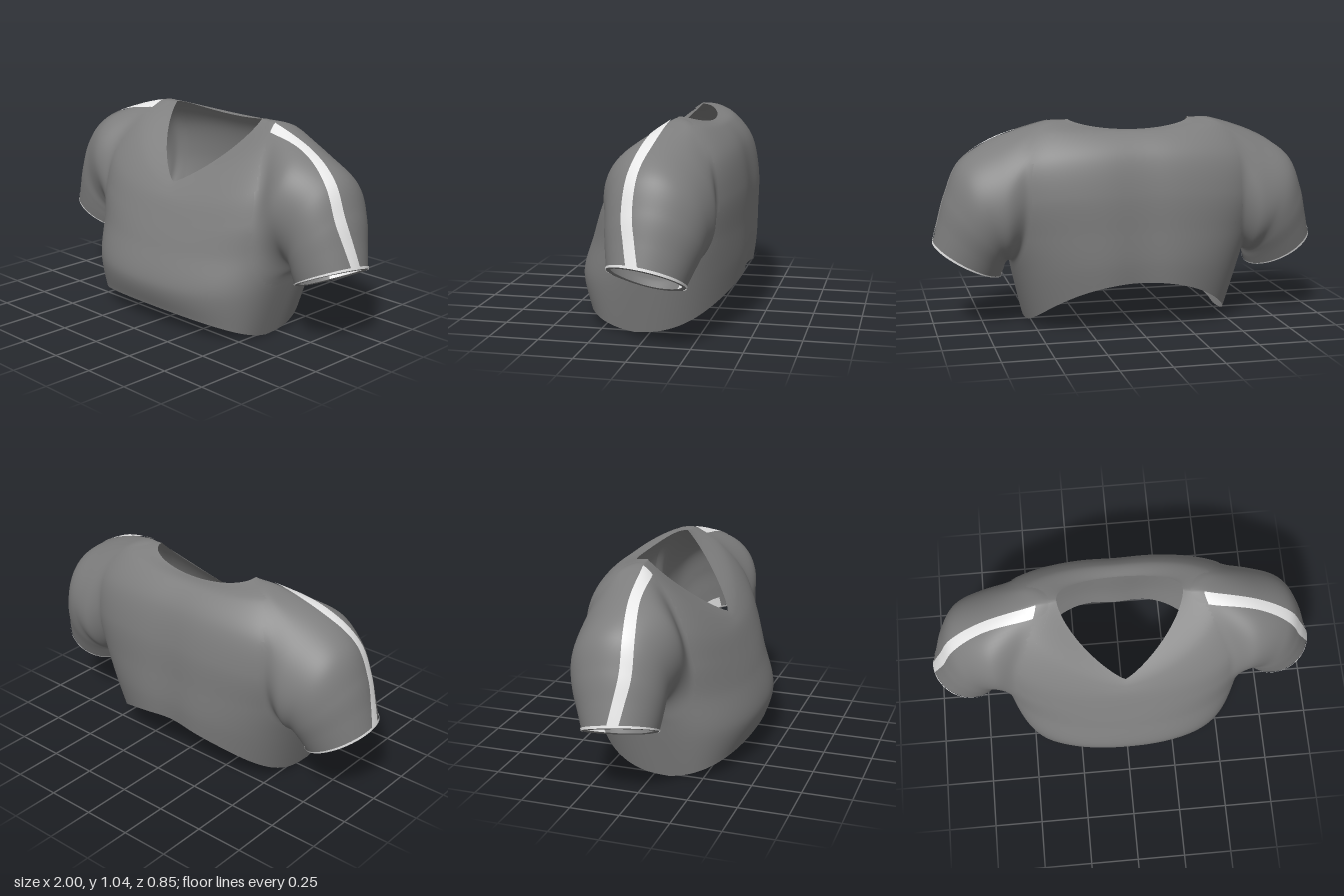
import * as THREE from 'three';

const grey = new THREE.MeshStandardMaterial({ name: 'grey cloth', color: 0x7e7e7e, side: THREE.DoubleSide });
const light = new THREE.MeshStandardMaterial({ name: 'light trim', color: 0xf0f0f0, side: THREE.DoubleSide });

// Smooth interpolation between rows of section values, t from 0 to 1
function blendRows(rows, t) {
  const f = t * (rows.length - 1);
  const i = Math.min(Math.floor(f), rows.length - 2);
  const s = f - i;
  const at = (k) => rows[Math.max(0, Math.min(rows.length - 1, k))];
  return rows[i].map((b, j) => {
    const a = at(i - 1)[j], c = at(i + 1)[j], d = at(i + 2)[j];
    return b + 0.5 * s * (c - a + s * (2 * a - 5 * b + 4 * c - d + s * (3 * (b - c) + d - a)));
  });
}

// Surface grid from a point rule; wrap closes it around u, skip leaves out faces
function surface(name, material, point, nu, nv, wrap = true, skip = () => false) {
  const pos = [], index = [];
  const cols = wrap ? nu : nu + 1;
  for (let j = 0; j <= nv; j++) {
    for (let i = 0; i < cols; i++) pos.push(...point(i / nu, j / nv));
  }
  for (let j = 0; j < nv; j++) {
    for (let i = 0; i < nu; i++) {
      if (skip((i + 0.5) / nu, (j + 0.5) / nv)) continue;
      const a = j * cols + i, b = j * cols + ((i + 1) % cols);
      index.push(a, b, b + cols, a, b + cols, a + cols);
    }
  }
  const g = new THREE.BufferGeometry();
  g.setAttribute('position', new THREE.Float32BufferAttribute(pos, 3));
  g.setIndex(index);
  g.computeVertexNormals();
  const mesh = new THREE.Mesh(g, material);
  mesh.name = name;
  return mesh;
}

// Torso rings, hem to neckline: side y, front y, back y, half width, side z, front z, back z,
// then powers: front z, x, back z, front y, front point (lower is sharper)
const TORSO = [
  [0.0, 0.1, 0.25, 0.525, 0.08, 0.39, -0.42, 0.6, 0.85, 0.65, 0.8, 1.9],
  [0.25, 0.24, 0.36, 0.585, 0.02, 0.43, -0.43, 0.7, 0.85, 0.65, 1.3, 1.9],
  [0.45, 0.42, 0.5, 0.63, -0.03, 0.375, -0.43, 0.75, 0.85, 0.62, 1.9, 1.9],
  [0.65, 0.55, 0.7, 0.66, -0.05, 0.325, -0.425, 0.75, 0.82, 0.53, 1.9, 1.9],
  [0.85, 0.64, 0.88, 0.64, -0.07, 0.285, -0.385, 0.8, 0.85, 0.53, 1.9, 1.8],
  [1.015, 0.69, 0.985, 0.5, -0.09, 0.25, -0.3, 1.0, 0.92, 0.65, 1.6, 1.5],
  [1.045, 0.72, 1.0, 0.31, -0.1, 0.22, -0.22, 1.3, 1.0, 0.8, 1.3, 1.2],
];

function torsoPoint(u, v) {
  const [ys, yf, yb, hw, zs, zf, zb, ezf, ex, ezb, ey, tip] = blendRows(TORSO, v);
  const s = Math.abs(Math.sin(u * Math.PI * 2)), c = Math.cos(u * Math.PI * 2);
  const x = hw * Math.sign(0.5 - u) * Math.pow(s, ex);
  if (c > 0) {
    // Front half, drawn to a point at the middle of the neckline
    const a = Math.sqrt(Math.max(0, 1 - Math.pow(s, tip)));
    return [x, ys + (yf - ys) * Math.pow(a, ey), zs + (zf - zs) * Math.pow(a, ezf)];
  }
  // Back half, with a shallow hollow down the spine
  const z = zs + (zb - zs) * Math.pow(-c, ezb) + 0.025 * (1 - v) * Math.exp(-((x / 0.13) ** 2));
  return [x, ys + (yb - ys) * Math.pow(-c, 1.5), z];
}

// Armhole: an oval on the torso surface, in its u and v
const HOLE = { u: 0.25, v: 0.55, ru: 0.1, rv: 0.33 };
const armholePoint = (angle, r) =>
  torsoPoint(HOLE.u + HOLE.ru * r * Math.sin(angle), HOLE.v + HOLE.rv * r * Math.cos(angle));
const inArmhole = (u, v) =>
  Math.hypot(((u < 0.5 ? u : 1 - u) - HOLE.u) / HOLE.ru, (v - HOLE.v) / HOLE.rv) < 1.1;

// Free sleeve rings from the cuff up: inner x, y, outer x, y, front z, back z, tilt
const SLEEVE = [
  [0.655, 0.265, 0.995, 0.43, 0.13, -0.24, 0.15],
  [0.645, 0.295, 0.968, 0.54, 0.14, -0.27, 0.1],
  [0.64, 0.32, 0.93, 0.68, 0.15, -0.305, 0.06],
  [0.635, 0.335, 0.855, 0.84, 0.16, -0.33, 0.07],
  [0.625, 0.345, 0.68, 0.95, 0.19, -0.35, 0.12],
];
const STRIPE_Z = [[-0.03], [-0.01], [0.01], [0.002], [-0.03], [-0.055], [-0.08]];

// Left sleeve: runs up the rings, then out onto the torso around the armhole; angle 0 is the outer line
function sleeveSkin(v, angle) {
  const co = Math.cos(angle), si = Math.sin(angle);
  const rows = SLEEVE.map(([ax, ay, ox, oy, zf, zb, tilt]) => {
    const dz = -si * (zf - zb) / 2;
    return [(ax + ox + (ox - ax) * co) / 2, (ay + oy + (oy - ay) * co) / 2 + tilt * dz, (zf + zb) / 2 + dz];
  });
  return blendRows([...rows, armholePoint(angle, 1), armholePoint(angle, 1.25)], v);
}

// Sleeve point for either side, moved off the skin along its normal
function sleevePoint(side, v, angle, off = 0) {
  const vec = (a, b) => new THREE.Vector3(...sleeveSkin(a, b));
  const p = vec(v, angle);
  if (off) {
    const along = vec(v + 0.005, angle).sub(p), around = vec(v, angle + 0.01).sub(p);
    p.addScaledVector(around.cross(along).normalize(), off);
  }
  return [side * p.x, p.y, p.z];
}

// Angle near the outer line where the sleeve has a given z
function angleAtZ(v, z) {
  let lo = -1.2, hi = 1.2;
  for (let k = 0; k < 22; k++) {
    const mid = (lo + hi) / 2;
    if (sleeveSkin(v, mid)[2] > z) lo = mid; else hi = mid;
  }
  return lo;
}

function makeSleeve(side) {
  const group = new THREE.Group();
  group.name = side > 0 ? 'leftSleeve' : 'rightSleeve';
  const turn = (u) => side * u * Math.PI * 2;
  const across = (u) => (side > 0 ? u : 1 - u);

  group.add(surface('sleeve', grey, (u, v) => sleevePoint(side, v, turn(u)), 72, 60));

  // Folded rim around the opening
  group.add(surface('cuffRim', grey, (u, v) => {
    const p = sleevePoint(side, 0, turn(u), -0.02 * (1 - v));
    p[1] -= 0.006 * Math.sin(v * Math.PI);
    return p;
  }, 48, 4));

  // Thin light line just above the rim
  group.add(surface('cuffLine', light, (u, v) => sleevePoint(side, v * 0.03, turn(u), 0.004), 48, 1));

  // Light facing inside the back of the cuff
  group.add(surface('cuffFacing', light, (u, v) =>
    sleevePoint(side, 0.005 + v * 0.1, (0.1 + across(u) * 0.65) * Math.PI, -0.012), 24, 2, false));

  // Stripe over the shoulder, following the outer line
  group.add(surface('shoulderStripe', light, (u, v) => {
    const t = 0.01 + v * 0.86;
    const z = blendRows(STRIPE_Z, t)[0] + (0.5 - across(u)) * 0.055;
    return sleevePoint(side, t, angleAtZ(t, z), 0.005);
  }, 4, 40, false));
  return group;
}

export function createModel() {
  const model = new THREE.Group();
  model.name = 'croppedShirt';
  // Torso, open at hem, neck and armholes
  model.add(surface('torso', grey, torsoPoint, 128, 64, true, inArmhole));
  for (const side of [1, -1]) model.add(makeSleeve(side));
  return model;
}
